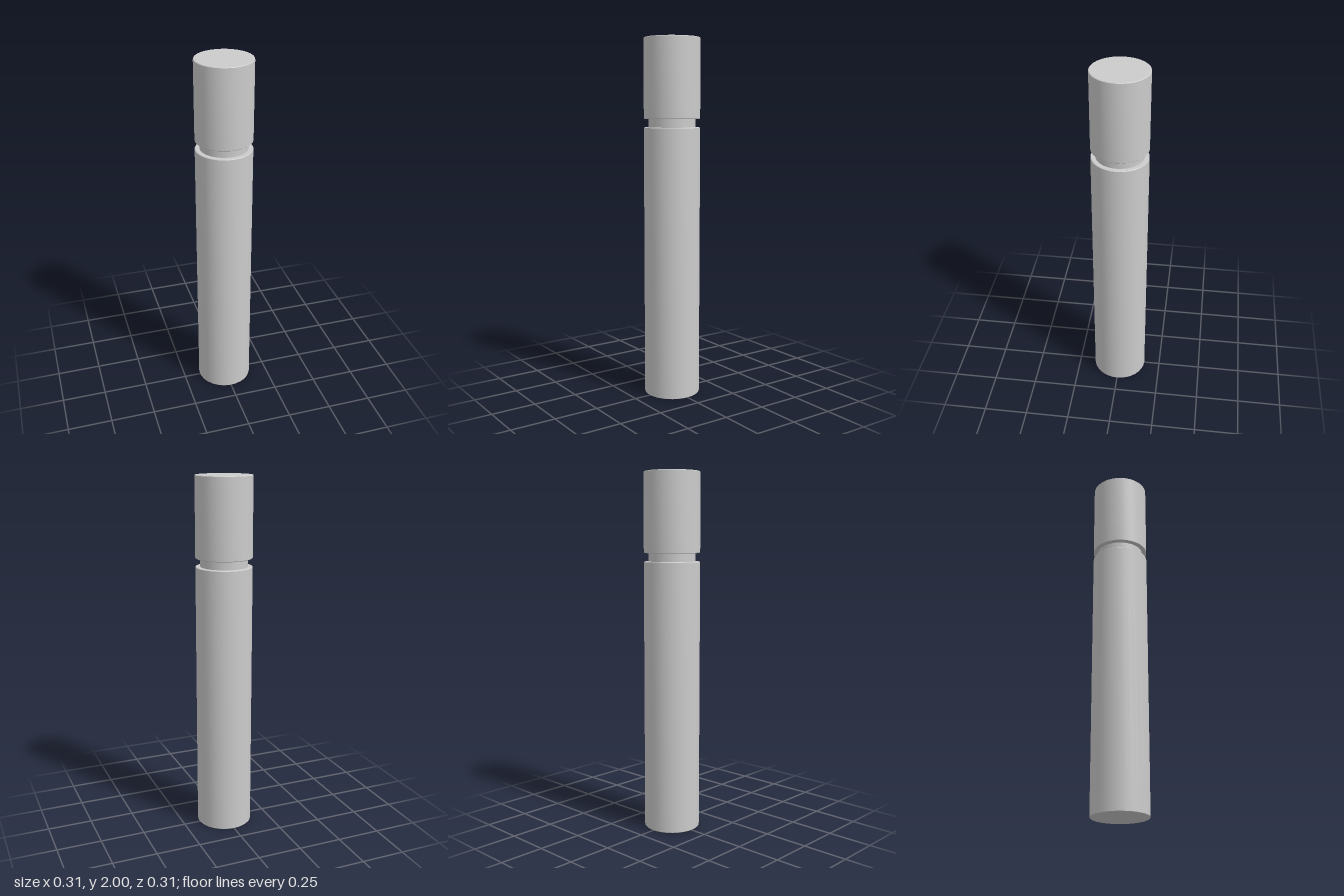
import * as THREE from 'three';
import { toCreasedNormals } from 'three/addons/utils/BufferGeometryUtils.js';

const SIDES = 32;
const RADIUS = 0.156;
const NECK_RADIUS = 0.13;
const BEVEL = 0.003;

// Closed round bar from y0 to y1 with finely bevelled rims
function roundBar(name, radius, y0, y1, material) {
  const profile = [
    [0, y0], [radius - BEVEL, y0], [radius, y0 + BEVEL],
    [radius, y1 - BEVEL], [radius - BEVEL, y1], [0, y1],
  ].map(([x, y]) => new THREE.Vector2(x, y));
  const geometry = toCreasedNormals(new THREE.LatheGeometry(profile, SIDES), 0.6);
  const mesh = new THREE.Mesh(geometry, material);
  mesh.name = name;
  return mesh;
}

export function createModel() {
  const group = new THREE.Group();
  group.name = 'cappedTube';
  const material = new THREE.MeshStandardMaterial({ color: 0xcccccc });

  // Long lower body
  group.add(roundBar('body', RADIUS, 0, 1.514, material));

  // Recessed neck, open-ended because it runs into the body and cap
  const neck = new THREE.Mesh(
    new THREE.CylinderGeometry(NECK_RADIUS, NECK_RADIUS, 0.066, SIDES, 1, true), material);
  neck.name = 'neck';
  neck.position.y = 1.537;
  group.add(neck);

  // Short upper cap
  group.add(roundBar('cap', RADIUS, 1.56, 2, material));

  return group;
}
